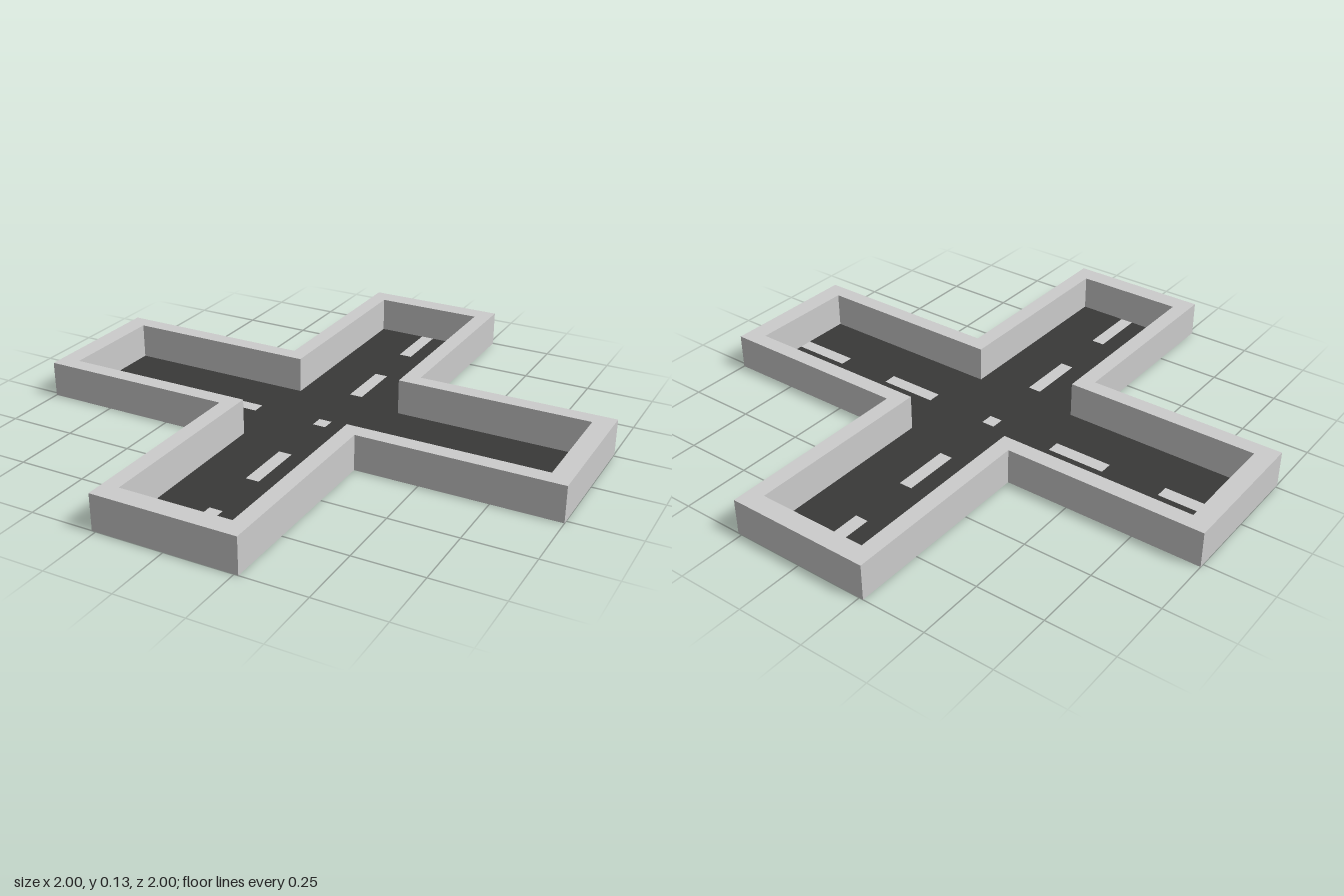
import * as THREE from 'three';

const HEIGHT = 0.132, DASH = 0.025;
const grey = new THREE.MeshStandardMaterial({ color: 0xcccccc, side: THREE.DoubleSide });
const asphalt = new THREE.MeshStandardMaterial({ color: 0x393938, side: THREE.DoubleSide });

// Repeats the corner points of one arm around the four sides, counter-clockwise
function fourArms(points) {
  const all = [];
  for (let i = 0; i < 4; i++) {
    for (const [x, y] of points) {
      all.push(new THREE.Vector2(x, y).rotateAround(new THREE.Vector2(), i * Math.PI / 2));
    }
  }
  return all;
}

const crossOutline = (half, end) => fourArms([[end, -half], [end, half], [half, half]]);

const rectangle = (x0, x1, half) => [[x0, -half], [x1, -half], [x1, half], [x0, half]]
  .map(([x, y]) => new THREE.Vector2(x, y));

// Flat horizontal surface at height y
function flat(name, shape, y, material) {
  const mesh = new THREE.Mesh(new THREE.ShapeGeometry(shape).rotateX(-Math.PI / 2), material);
  mesh.position.y = y;
  mesh.name = name;
  return mesh;
}

// Upright wall sheet following a closed outline
function wall(name, outline) {
  const positions = [];
  outline.forEach((a, i) => {
    const b = outline[(i + 1) % outline.length];
    positions.push(
      a.x, 0, -a.y, b.x, 0, -b.y, b.x, HEIGHT, -b.y,
      a.x, 0, -a.y, b.x, HEIGHT, -b.y, a.x, HEIGHT, -a.y);
  });
  const geometry = new THREE.BufferGeometry();
  geometry.setAttribute('position', new THREE.Float32BufferAttribute(positions, 3));
  geometry.computeVertexNormals();
  const mesh = new THREE.Mesh(geometry, grey);
  mesh.name = name;
  return mesh;
}

export function createModel() {
  const group = new THREE.Group();
  group.name = 'crossroads';
  const outer = crossOutline(0.265, 1);
  const inner = crossOutline(0.205, 0.928);

  // Hollow rim, open underneath
  const rimTop = new THREE.Shape(outer);
  rimTop.holes.push(new THREE.Path(inner));
  group.add(
    flat('rimTop', rimTop, HEIGHT, grey),
    wall('outerWall', outer),
    wall('innerWall', [...inner].reverse()));

  // Road surface, notched at the arm ends for the outermost dashes
  const road = new THREE.Shape(fourArms([
    [0.928, -0.205], [0.928, -DASH], [0.707, -DASH], [0.707, DASH],
    [0.928, DASH], [0.928, 0.205], [0.205, 0.205]]));
  const centre = rectangle(-DASH, DASH, DASH);
  road.holes.push(new THREE.Path(centre));
  group.add(flat('centreMark', new THREE.Shape(centre), 0, grey));

  // Lane dashes set flush into the road
  for (let i = 0; i < 4; i++) {
    for (const [start, end] of [[0.267, 0.487], [0.707, 0.928]]) {
      const dash = rectangle(start, end, DASH)
        .map((p) => p.rotateAround(new THREE.Vector2(), i * Math.PI / 2));
      if (end < 0.9) road.holes.push(new THREE.Path(dash));
      group.add(flat('laneDash', new THREE.Shape(dash), 0, grey));
    }
  }
  group.add(flat('road', road, 0, asphalt));
  return group;
}
